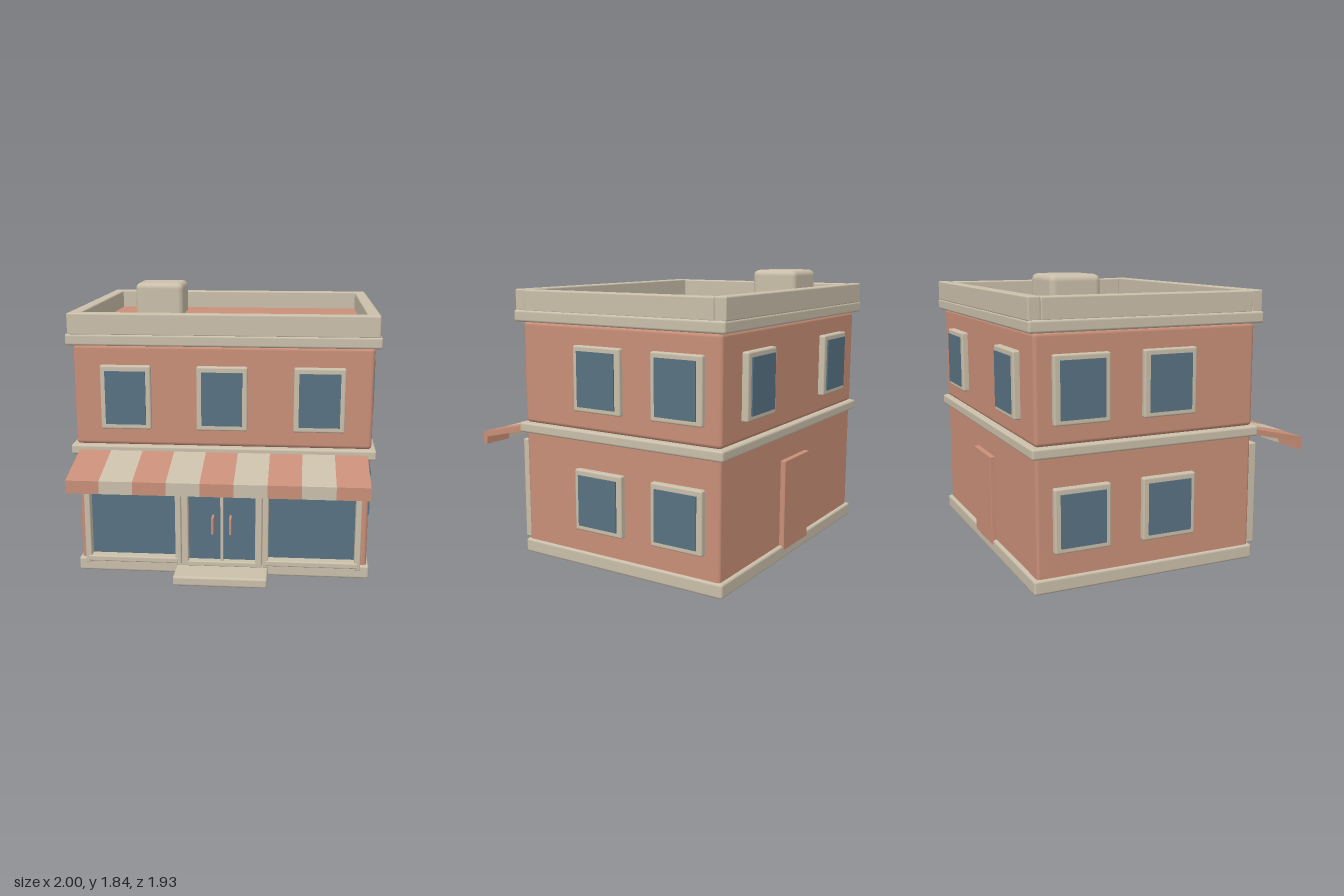
import * as THREE from 'three';
import { RoundedBoxGeometry } from 'three/addons/geometries/RoundedBoxGeometry.js';

export function createModel() {
  const building = new THREE.Group();
  building.name = 'shopBuilding';

  const material = (name, color) => {
    const m = new THREE.MeshStandardMaterial({ color });
    m.name = name;
    return m;
  };
  const coral = material('coral', 0xc98f78);
  const beige = material('beige', 0xcabfaa);
  const glass = material('glass', 0x587282);

  // Box given by its extents, with rounded edges when r > 0
  function box(name, mat, [x0, x1], [y0, y1], [z0, z1], r = 0, parent = building) {
    const w = x1 - x0, h = y1 - y0, d = z1 - z0;
    const geo = r > 0 ? new RoundedBoxGeometry(w, h, d, 2, r) : new THREE.BoxGeometry(w, h, d);
    const mesh = new THREE.Mesh(geo, mat);
    mesh.name = name;
    mesh.position.set((x0 + x1) / 2, (y0 + y1) / 2, (z0 + z1) / 2);
    parent.add(mesh);
    return mesh;
  }

  // Main storeys and horizontal bands
  box('basePlinth', beige, [-0.967, 0.967], [0, 0.09], [-0.93, 0.57], 0.015);
  box('lowerWalls', coral, [-0.95, 0.95], [0.05, 0.85], [-0.905, 0.55], 0.02);
  box('middleBand', beige, [-0.985, 0.985], [0.815, 0.882], [-0.938, 0.583], 0.015);
  box('upperWalls', coral, [-0.955, 0.955], [0.88, 1.535], [-0.91, 0.553], 0.025);
  box('cornice', beige, [-0.995, 0.995], [1.533, 1.607], [-0.95, 0.593], 0.015);
  box('roof', coral, [-0.92, 0.92], [1.56, 1.612], [-0.88, 0.52]);

  // Parapet
  box('parapetFront', beige, [-0.98, 0.98], [1.6, 1.738], [0.51, 0.588], 0.01);
  box('parapetBack', beige, [-0.98, 0.98], [1.6, 1.738], [-0.948, -0.87], 0.01);
  for (const s of [-1, 1]) {
    const xs = [s * 0.905, s * 0.985].sort((a, b) => a - b);
    box('parapetSide', beige, xs, [1.6, 1.735], [-0.872, 0.513], 0.01);
  }
  box('rooftopUnit', beige, [-0.72, -0.37], [1.58, 1.84], [-0.71, -0.385], 0.04);

  // Framed window facing +z, turned to its wall
  function addWindow(x, y, z, turn, w, h, gw, gh) {
    const g = new THREE.Group();
    g.name = 'window';
    box('windowFrame', beige, [-w / 2, w / 2], [-h / 2, h / 2], [-0.03, 0.034], 0.012, g);
    box('windowGlass', glass, [-gw / 2, gw / 2], [-gh / 2, gh / 2], [0.036, 0.045], 0, g);
    g.position.set(x, y, z);
    g.rotation.y = turn;
    building.add(g);
  }
  for (const x of [-0.617, 0, 0.617]) addWindow(x, 1.2, 0.552, 0, 0.325, 0.415, 0.26, 0.345);
  for (const x of [-0.54, 0.54]) addWindow(x, 1.205, -0.917, Math.PI, 0.36, 0.41, 0.29, 0.345);
  for (const s of [-1, 1]) {
    for (const z of [-0.053, -0.625]) {
      addWindow(s * 0.953, 1.205, z, s * Math.PI / 2, 0.355, 0.41, 0.28, 0.345);
      addWindow(s * 0.953, 0.436, z, s * Math.PI / 2, 0.36, 0.395, 0.29, 0.325);
    }
  }

  // Shop windows either side of the entrance
  const post = [0.55, 0.625];
  for (const s of [-1, 1]) {
    const span = (a, b) => [s * a, s * b].sort((p, q) => p - q);
    box('shopGlass', glass, span(0.29, 0.885), [0.09, 0.74], [0.555, 0.564]);
    box('shopPostOuter', beige, span(0.867, 0.906), [0.08, 0.752], post, 0.008);
    box('shopPostInner', beige, span(0.267, 0.306), [0.08, 0.752], post, 0.008);
    box('shopSill', beige, span(0.288, 0.89), [0.092, 0.13], [0.55, 0.63], 0.008);
    box('shopHeader', beige, span(0.288, 0.89), [0.713, 0.752], post, 0.008);
    // Entrance door leaf
    box('doorGlass', glass, span(0.006, 0.23), [0.1, 0.74], [0.565, 0.574]);
    box('doorPost', beige, span(0.22, 0.264), [0.08, 0.752], post, 0.008);
    box('doorHandle', coral, span(0.05, 0.066), [0.308, 0.422], [0.574, 0.648], 0.004);
  }
  box('doorSill', beige, [-0.264, 0.264], [0.078, 0.11], post, 0.006);
  box('doorHeader', beige, [-0.264, 0.264], [0.713, 0.752], post, 0.006);
  box('doorMullion', beige, [-0.009, 0.009], [0.1, 0.74], [0.555, 0.61]);
  box('frontStep', beige, [-0.305, 0.305], [0, 0.065], [0.56, 0.777], 0.015);

  // Back door
  box('backDoor', coral, [-0.18, 0.18], [0.06, 0.655], [-0.938, -0.88], 0.005);

  // Striped awning: one profile in (z, y), extruded per stripe along x
  const profile = new THREE.Shape([
    [0.56, 0.82], [0.935, 0.73], [0.935, 0.68], [0.967, 0.68], [0.967, 0.762], [0.56, 0.855],
  ].map(([z, y]) => new THREE.Vector2(-z, y)));
  const stripes = 9, stripeWidth = 1.856 / stripes;
  const stripeGeo = new THREE.ExtrudeGeometry(profile, { depth: stripeWidth, bevelEnabled: false });
  stripeGeo.rotateY(Math.PI / 2);
  const awning = new THREE.Group();
  awning.name = 'awning';
  for (let i = 0; i < stripes; i++) {
    const stripe = new THREE.Mesh(stripeGeo, i % 2 ? beige : coral);
    stripe.name = 'awningStripe';
    stripe.position.x = -0.928 + i * stripeWidth;
    awning.add(stripe);
  }
  building.add(awning);

  return building;
}
